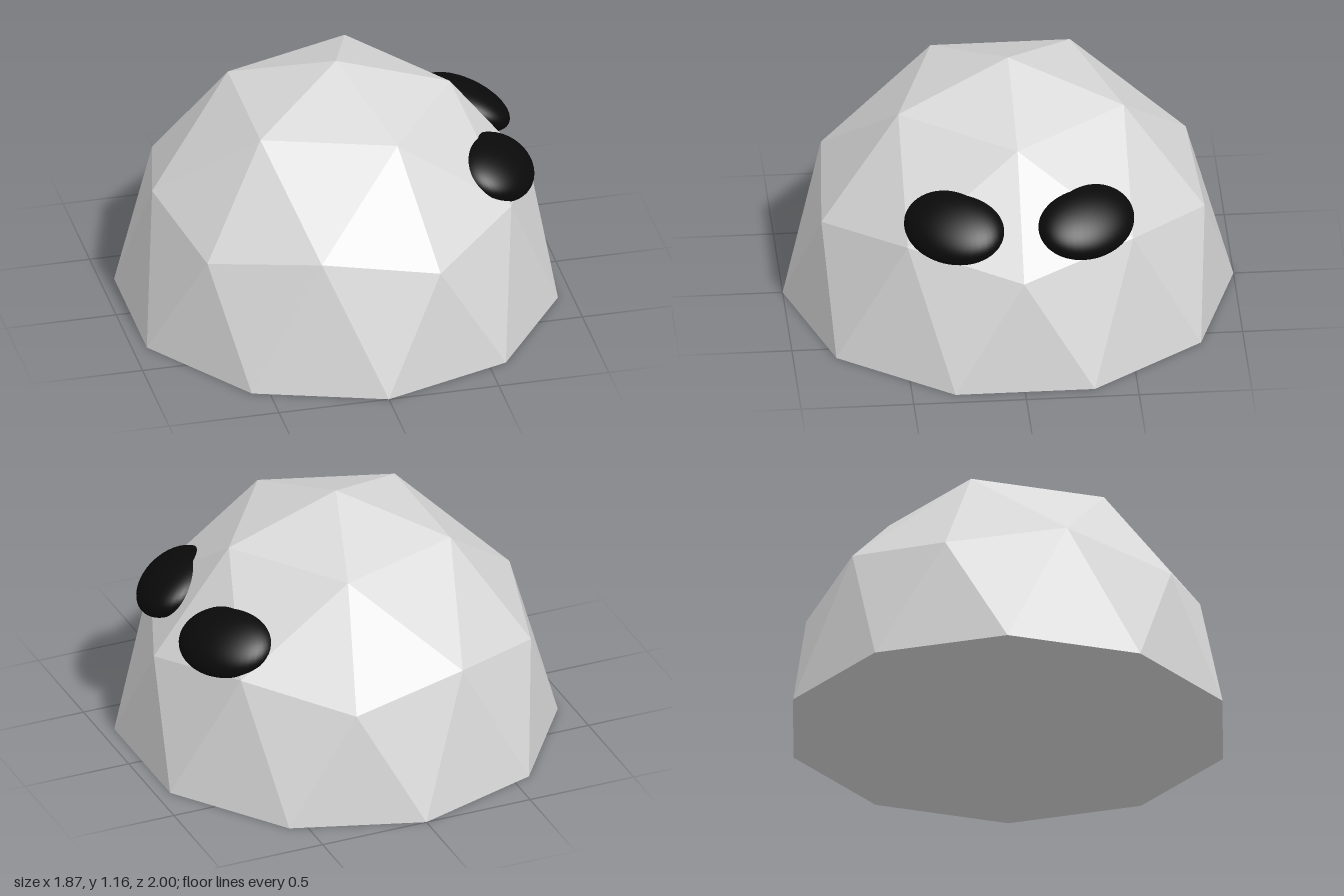
import * as THREE from 'three';

const shellMaterial = new THREE.MeshStandardMaterial({ color: 0xd9d9d9, flatShading: true });
shellMaterial.name = 'pale grey';
const eyeMaterial = new THREE.MeshStandardMaterial({ color: 0x0a0a0a });
eyeMaterial.name = 'black';

// Upper half of a once-subdivided icosahedron, stretched upwards and closed below
function domeGeometry() {
  const points = [];
  const point = (radius, height, degrees) => {
    const a = THREE.MathUtils.degToRad(degrees);
    return [radius * Math.cos(a) * 0.983, height * 1.165, radius * Math.sin(a)];
  };
  const tri = (a, b, c) => points.push(...a, ...b, ...c);
  const top = point(0, 1, 0);
  const centre = point(0, 0, 0);
  const upper = (d) => point(0.526, 0.851, d);
  const corner = (d) => point(0.894, 0.447, d);
  const middle = (d) => point(0.851, 0.526, d);
  const base = (d) => point(1, 0, d);

  for (let i = 0; i < 5; i++) {
    const d = i * 72;
    tri(top, upper(d + 72), upper(d));
    tri(upper(d), upper(d + 72), middle(d + 36));
    tri(upper(d), middle(d + 36), corner(d));
    tri(upper(d + 72), corner(d + 72), middle(d + 36));
    // lower band
    tri(corner(d), base(d + 18), base(d - 18));
    tri(corner(d), middle(d + 36), base(d + 18));
    tri(middle(d + 36), base(d + 54), base(d + 18));
    tri(middle(d + 36), corner(d + 72), base(d + 54));
    // flat underside
    tri(centre, base(d - 18), base(d + 18));
    tri(centre, base(d + 18), base(d + 54));
  }
  const geometry = new THREE.BufferGeometry();
  geometry.setAttribute('position', new THREE.Float32BufferAttribute(points, 3));
  geometry.computeVertexNormals();
  return geometry;
}

// Slanted ellipsoid lying against the sloping face; side is 1 or -1 along z
function eyeGeometry(side) {
  const geometry = new THREE.SphereGeometry(1, 40, 28);
  geometry.applyMatrix4(new THREE.Matrix4().set(
    0.156, -0.083, -0.055 * side, 0.655,
    0, 0.1224, -0.0115 * side, 0.697,
    0, 0, 0.2175, 0.293 * side,
    0, 0, 0, 1
  ));
  return geometry;
}

export function createModel() {
  const model = new THREE.Group();
  model.name = 'domeCreature';

  const dome = new THREE.Mesh(domeGeometry(), shellMaterial);
  dome.name = 'dome';
  model.add(dome);

  for (const side of [1, -1]) {
    const eye = new THREE.Mesh(eyeGeometry(side), eyeMaterial);
    eye.name = side > 0 ? 'frontEye' : 'backEye';
    model.add(eye);
  }
  return model;
}
